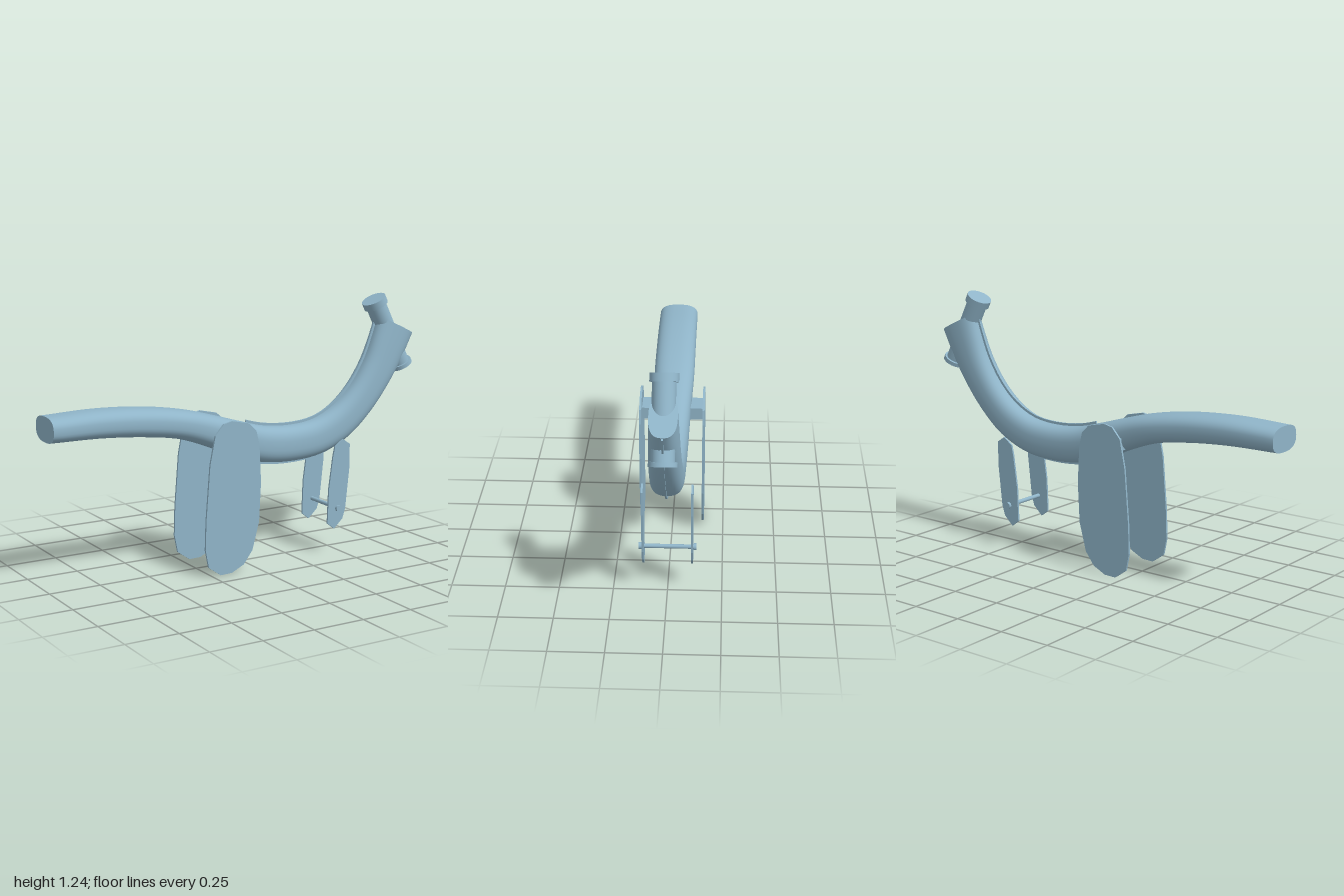
import * as THREE from 'three';

const paint = new THREE.MeshStandardMaterial({ color: 0x8fb4c8 });
paint.name = 'blueGrey';

// Curved body: [topX, topY, bottomX, bottomY, halfWidth] at each station
const stations = [
  [-1, 0.808, -1, 0.692, 0.098],
  [-0.74, 0.815, -0.74, 0.687, 0.098],
  [-0.5, 0.8, -0.52, 0.668, 0.098],
  [-0.3, 0.768, -0.35, 0.64, 0.097],
  [-0.14, 0.725, -0.2, 0.587, 0.091],
  [0.01, 0.68, -0.04, 0.518, 0.085],
  [0.12, 0.652, 0.1, 0.478, 0.082],
  [0.26, 0.64, 0.26, 0.464, 0.079],
  [0.4, 0.655, 0.43, 0.48, 0.077],
  [0.52, 0.71, 0.59, 0.547, 0.075],
  [0.62, 0.8, 0.73, 0.665, 0.072],
  [0.7, 0.92, 0.85, 0.81, 0.068],
  [0.75, 1.04, 0.93, 0.935, 0.064],
  [0.78, 1.13, 0.985, 1.035, 0.06],
];
const topCurve = new THREE.CatmullRomCurve3(stations.map((s) => new THREE.Vector3(s[0], s[1], s[4])));
const bottomCurve = new THREE.CatmullRomCurve3(stations.map((s) => new THREE.Vector3(s[2], s[3], 0)));

function mesh(name, geometry) {
  const m = new THREE.Mesh(geometry, paint);
  m.name = name;
  return m;
}

// Sweep of rounded-rectangle sections between the two outline curves
function bodyGeometry(steps = 78, sides = 40) {
  const pos = [];
  const index = [];
  const ring = (t) => {
    const top = topCurve.getPoint(t);
    const bottom = bottomCurve.getPoint(t);
    for (let j = 0; j < sides; j++) {
      const a = (j / sides) * Math.PI * 2;
      const round = (v) => Math.sign(v) * Math.abs(v) ** 0.76;
      const k = (round(Math.sin(a)) + 1) / 2;
      pos.push(
        THREE.MathUtils.lerp(bottom.x, top.x, k),
        THREE.MathUtils.lerp(bottom.y, top.y, k),
        top.z * round(Math.cos(a)),
      );
    }
  };
  for (let i = 0; i <= steps; i++) ring(i / steps);
  for (let i = 0; i < steps; i++) {
    for (let j = 0; j < sides; j++) {
      const n = (j + 1) % sides;
      const a = i * sides;
      const b = a + sides;
      index.push(a + j, b + j, a + n, a + n, b + j, b + n);
    }
  }
  // Flat end caps with their own vertices
  for (const end of [0, 1]) {
    const base = pos.length / 3;
    ring(end);
    for (let j = 1; j < sides - 1; j++) {
      if (end) index.push(base, base + j + 1, base + j);
      else index.push(base, base + j, base + j + 1);
    }
  }
  const g = new THREE.BufferGeometry();
  g.setAttribute('position', new THREE.Float32BufferAttribute(pos, 3));
  g.setIndex(index);
  g.computeVertexNormals();
  return g;
}

// Thin plate in the xy plane, centred on z = 0
function plate(points, depth) {
  const shape = new THREE.Shape(points.map(([x, y]) => new THREE.Vector2(x, y)));
  const g = new THREE.ExtrudeGeometry(shape, { depth, bevelEnabled: false });
  return g.translate(0, 0, -depth / 2);
}

// Seam that stands slightly proud of the body along its middle
function seamGeometry(steps = 48) {
  const upper = [];
  const lower = [];
  for (let i = 0; i <= steps; i++) {
    const t = THREE.MathUtils.lerp(5.1 / 13, 0.998, i / steps);
    const top = topCurve.getPoint(t).setZ(0);
    const bottom = bottomCurve.getPoint(t);
    const out = top.clone().sub(bottom).setLength(0.012);
    upper.unshift([top.x + out.x, top.y + out.y]);
    lower.push([bottom.x - out.x, bottom.y - out.y]);
  }
  return plate([...lower, ...upper], 0.008);
}

// Cylinder between two points in the middle plane
function rod(name, from, to, radius) {
  const a = new THREE.Vector3(...from);
  const b = new THREE.Vector3(...to);
  const m = mesh(name, new THREE.CylinderGeometry(radius, radius, a.distanceTo(b), 32));
  m.position.copy(a).lerp(b, 0.5);
  m.quaternion.setFromUnitVectors(new THREE.Vector3(0, 1, 0), b.clone().sub(a).normalize());
  return m;
}

export function createModel() {
  const model = new THREE.Group();
  model.name = 'model';
  model.add(mesh('body', bodyGeometry()), mesh('seam', seamGeometry()));

  // Straight pipe through the upper end, flanged at both ends
  const p0 = new THREE.Vector3(0.758, 1.217, 0);
  const p1 = new THREE.Vector3(0.931, 0.876, 0);
  const along = (d) => p0.clone().addScaledVector(p1.clone().sub(p0).normalize(), d).toArray();
  const length = p0.distanceTo(p1);
  model.add(
    rod('pipe', along(0.005), along(length - 0.005), 0.05),
    rod('topFlange', along(0), along(0.036), 0.061),
    rod('bottomFlange', along(length - 0.02), along(length), 0.061),
  );

  // Large side plates joined by a crossbar
  const large = plate([
    [-0.185, 0.715], [-0.14, 0.725], [-0.05, 0.705], [-0.012, 0.668], [0.005, 0.6],
    [0.014, 0.42], [0.004, 0.23], [-0.033, 0.095], [-0.08, 0.033], [-0.145, 0.002],
    [-0.205, 0], [-0.268, 0.045], [-0.285, 0.13], [-0.28, 0.27], [-0.258, 0.53], [-0.23, 0.665],
  ].reverse(), 0.01);
  const bar = mesh('crossbar', new THREE.BoxGeometry(0.12, 0.058, 0.296));
  bar.position.set(-0.132, 0.622, 0);
  model.add(bar);

  // Small side plates carrying a thin axle
  const small = plate([
    [0.507, 0.562], [0.546, 0.535], [0.546, 0.42], [0.524, 0.215], [0.508, 0.165],
    [0.46, 0.12], [0.421, 0.15], [0.427, 0.32], [0.449, 0.48], [0.46, 0.53],
  ].reverse(), 0.009);
  model.add(rod('axle', [0.479, 0.222, -0.125], [0.479, 0.222, 0.125], 0.01));

  for (const side of [-1, 1]) {
    const name = side > 0 ? 'front' : 'back';
    const big = mesh(name + 'LargePlate', large);
    big.position.z = side * 0.15;
    const little = mesh(name + 'SmallPlate', small);
    little.position.z = side * 0.112;
    const bolt = rod(name + 'AxleEnd', [0.479, 0.222, side * 0.119], [0.479, 0.222, side * 0.132], 0.016);
    model.add(big, little, bolt);
  }
  return model;
}
